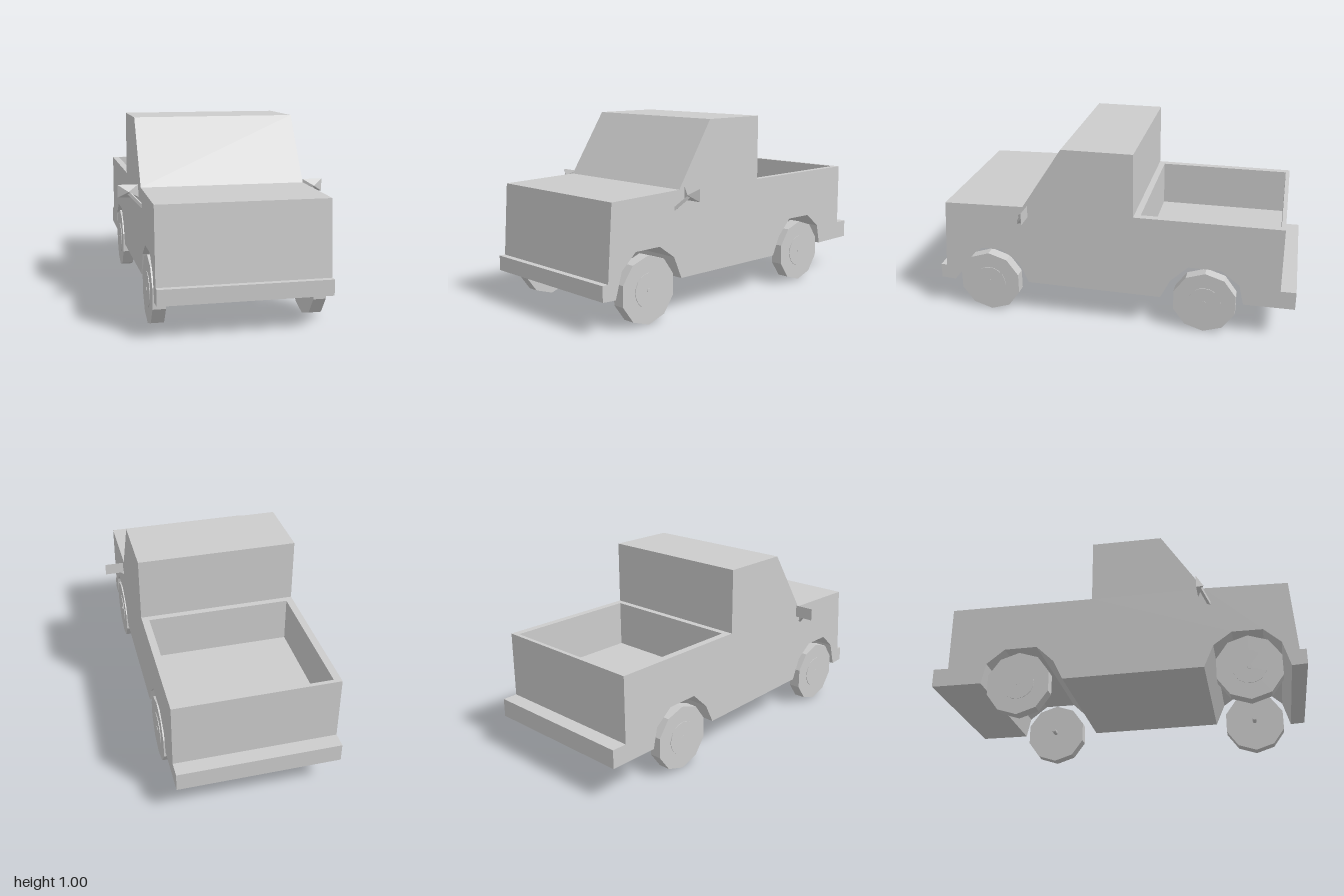
import * as THREE from 'three';

const grey = new THREE.MeshStandardMaterial({ color: 0xcccccc, flatShading: true });
const inside = new THREE.MeshStandardMaterial({ color: 0xcccccc, flatShading: true, side: THREE.BackSide });

const HALF = 0.437;      // half body width
const DECK = 0.64;       // height of the bed rim
const BED = { x: 0.398, front: -0.155, back: -0.895, floor: 0.385 };

function add(parent, name, geometry, material = grey) {
  const mesh = new THREE.Mesh(geometry, material);
  mesh.name = name;
  parent.add(mesh);
  return mesh;
}

// Side outline as [z, y], along the underside to the rear and back over the top
const outline = [
  [1, 0.165], [0.92, 0.16],
  [0.88, 0.295], [0.79, 0.375], [0.63, 0.375], [0.53, 0.305], [0.478, 0.186], // front arch
  [-0.273, 0.176],
  [-0.326, 0.283], [-0.422, 0.374], [-0.6, 0.372], [-0.7, 0.294], [-0.725, 0.182], // rear arch
  [-1, 0.182], [-1, 0.283], [-0.917, 0.283], // rear bumper
  [-0.917, DECK], [-0.12, DECK], // bed rim
  [-0.12, 0.992], [0.267, 0.992], [0.492, 0.647], // cab and windscreen
  [0.938, 0.636], [0.966, 0.246], [1, 0.246], // bonnet, nose, front bumper
];

// Full-width extrusion, left open where the bed rim lies
function bodyGeometry() {
  const shape = new THREE.Shape(outline.map(([z, y]) => new THREE.Vector2(-z, y)));
  const full = new THREE.ExtrudeGeometry(shape, { depth: 2 * HALF, bevelEnabled: false });
  full.translate(0, 0, -HALF).rotateY(Math.PI / 2);
  const p = full.attributes.position;
  const kept = [];
  for (let i = 0; i < p.count; i += 3) {
    const onDeck = [0, 1, 2].every((k) => Math.abs(p.getY(i + k) - DECK) < 1e-4);
    if (!onDeck) kept.push(...p.array.slice(i * 3, i * 3 + 9));
  }
  const geometry = new THREE.BufferGeometry();
  geometry.setAttribute('position', new THREE.Float32BufferAttribute(kept, 3));
  geometry.computeVertexNormals();
  return geometry;
}

function rectangle(Type, x, z0, z1) {
  return new Type([[-x, -z0], [x, -z0], [x, -z1], [-x, -z1]].map(([a, b]) => new THREE.Vector2(a, b)));
}

// Flat rim around the bed opening
function rimGeometry() {
  const shape = rectangle(THREE.Shape, HALF, -0.12, -0.917);
  shape.holes.push(rectangle(THREE.Path, BED.x, BED.front, BED.back));
  return new THREE.ShapeGeometry(shape).rotateX(-Math.PI / 2).translate(0, DECK, 0);
}

// Box seen from inside, without its lid
function bedGeometry() {
  const depth = DECK - BED.floor;
  const box = new THREE.BoxGeometry(2 * BED.x, depth, BED.front - BED.back);
  const index = Array.from(box.index.array);
  index.splice(12, 6);
  box.setIndex(index);
  return box.translate(0, BED.floor + depth / 2, (BED.front + BED.back) / 2);
}

// Cylinder lying along x from x0 to x1
function disc(radius, x0, x1, sides) {
  return new THREE.CylinderGeometry(radius, radius, x1 - x0, sides)
    .rotateZ(Math.PI / 2).translate((x0 + x1) / 2, 0, 0);
}

function makeWheel(name, side, z) {
  const wheel = new THREE.Group();
  wheel.name = name;
  add(wheel, 'tyre', disc(0.177, 0.373, 0.439, 10).rotateX(Math.PI / 2));
  add(wheel, 'hubcap', disc(0.09, 0.437, 0.442, 20));
  add(wheel, 'axleStub', disc(0.012, 0.31, 0.444, 10));
  wheel.position.set(0, 0.168, z);
  if (side < 0) wheel.rotation.y = Math.PI;
  return wheel;
}

function makeMirror(name, side) {
  const mirror = new THREE.Group();
  mirror.name = name;
  // Shallow pyramid pointing forward with its glass at the back
  const head = new THREE.ConeGeometry(Math.SQRT1_2, 1, 4).rotateY(Math.PI / 4)
    .rotateX(Math.PI / 2).scale(0.108, 0.067, 0.035);
  add(mirror, 'mirrorHead', head).position.set(side * 0.5, 0.627, 0.48);
  // Slanted arm from the door to the head
  const from = new THREE.Vector3(side * 0.43, 0.55, 0.522);
  const to = new THREE.Vector3(side * 0.497, 0.62, 0.479);
  const arm = add(mirror, 'mirrorArm', new THREE.BoxGeometry(0.016, 0.016, from.distanceTo(to)));
  arm.position.copy(from).lerp(to, 0.5);
  arm.lookAt(to);
  return mirror;
}

export function createModel() {
  const truck = new THREE.Group();
  truck.name = 'pickupTruck';

  add(truck, 'body', bodyGeometry());
  add(truck, 'bedRim', rimGeometry());
  add(truck, 'bed', bedGeometry(), inside);

  for (const [label, side] of [['Left', 1], ['Right', -1]]) {
    truck.add(makeWheel('front' + label + 'Wheel', side, 0.708));
    truck.add(makeWheel('rear' + label + 'Wheel', side, -0.515));
    truck.add(makeMirror('mirror' + label, side));
  }
  return truck;
}
